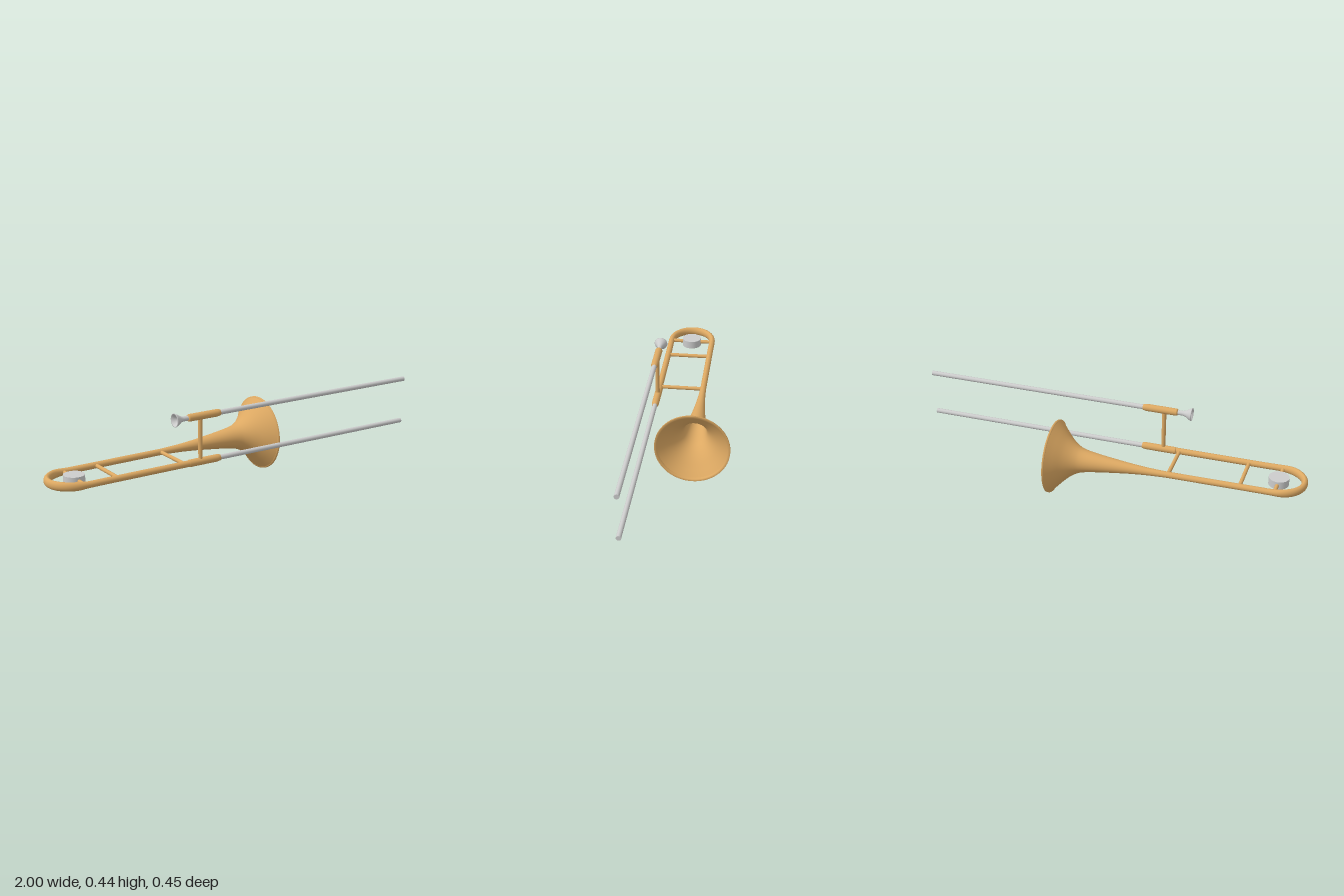
import * as THREE from 'three';

const brass = new THREE.MeshStandardMaterial({ color: 0xdca862 });
const brassSheet = new THREE.MeshStandardMaterial({ color: 0xdca862, side: THREE.DoubleSide });
const silver = new THREE.MeshStandardMaterial({ color: 0xcccccc });
const silverSheet = new THREE.MeshStandardMaterial({ color: 0xcccccc, side: THREE.DoubleSide });

const LOW = 0.187, HIGH = 0.41, SLIDE_Z = 0.192;
const bellZ = (x) => -0.0385 - 0.0137 * x; // the bell side leans slightly outward
const slideZ = (x) => 0.191 - 0.006 * x;

export function createModel() {
  const model = new THREE.Group();
  const add = (name, geometry, material) => {
    const mesh = new THREE.Mesh(geometry, material);
    mesh.name = name;
    model.add(mesh);
    return mesh;
  };
  // Straight rod between two points
  const rod = (name, a, b, radius, material) => {
    const from = new THREE.Vector3(...a), to = new THREE.Vector3(...b);
    const mesh = add(name, new THREE.CylinderGeometry(radius, radius, from.distanceTo(to), 24), material);
    mesh.position.copy(from).add(to).multiplyScalar(0.5);
    mesh.quaternion.setFromUnitVectors(new THREE.Vector3(0, 1, 0), to.sub(from).normalize());
  };
  // Profile of [x, radius] pairs turned about the x axis
  const turned = (profile, segments) => new THREE.LatheGeometry(
    profile.map(([x, r]) => new THREE.Vector2(r, x)), segments).rotateZ(-Math.PI / 2);

  // Main tube: bell side, tuning bow, slide side
  const path = [];
  for (const x of [-0.3, -0.45, -0.6, -0.75]) path.push(new THREE.Vector3(x, LOW, bellZ(x)));
  for (let i = 0; i <= 16; i++) {
    const a = (i / 16) * Math.PI;
    path.push(new THREE.Vector3(-0.86 - 0.125 * Math.sin(a), LOW, 0.085 - 0.112 * Math.cos(a)));
  }
  for (const x of [-0.75, -0.6, -0.45, -0.25]) path.push(new THREE.Vector3(x, LOW, slideZ(x)));
  const tube = new THREE.TubeGeometry(new THREE.CatmullRomCurve3(path), 180, 0.0155, 20);
  // The bow swells vertically
  const p = tube.attributes.position;
  for (let i = 0; i < p.count; i++) {
    const swell = 1 + 0.38 * THREE.MathUtils.smoothstep(-p.getX(i), 0.83, 0.93);
    p.setY(i, LOW + (p.getY(i) - LOW) * swell);
  }
  tube.computeVertexNormals();
  add('mainTube', tube, brass);

  // Flared bell with a smooth spline profile and a thin rim
  const flare = new THREE.SplineCurve([
    [-0.33, 0.0155], [-0.24, 0.019], [-0.15, 0.026], [-0.06, 0.036], [0.02, 0.046], [0.09, 0.058],
    [0.13, 0.074], [0.17, 0.104], [0.21, 0.145], [0.24, 0.178],
  ].map(([x, r]) => new THREE.Vector2(x, r))).getPoints(60).map((v) => [v.x, v.y]);
  const lean = (geometry) => {
    const q = geometry.attributes.position;
    for (let i = 0; i < q.count; i++) q.setZ(i, q.getZ(i) + bellZ(q.getX(i)));
    return geometry.translate(0, LOW, 0);
  };
  add('bell', lean(turned(flare, 64)), brassSheet);
  add('bellRim', lean(turned([[0.24, 0.178], [0.242, 0.184], [0.249, 0.184]], 64)), brassSheet);
  add('bellRimFace', lean(turned([[0.249, 0.184], [0.25, 0.172], [0.236, 0.172]], 64)), brassSheet);
  // Closed throat deep inside the bell
  const throat = add('bellThroat', new THREE.CircleGeometry(0.0155, 24).rotateY(Math.PI / 2), brass);
  throat.position.set(-0.325, LOW, bellZ(-0.325));

  // Slide tubes and their sleeves
  for (const [side, y, end] of [['upper', HIGH, 1], ['lower', LOW, 0.99]]) {
    rod(side + 'SlideTube', [-0.3, y, SLIDE_Z], [end, y, SLIDE_Z], 0.012, silver);
    const sleeve = turned([[-0.32, 0.001], [-0.32, 0.014], [-0.312, 0.018], [-0.16, 0.018],
      [-0.142, 0.015], [-0.14, 0.011]], 28);
    add(side + 'SlideSleeve', sleeve, brassSheet).position.set(0, y, SLIDE_Z);
  }

  // Mouthpiece: shank, outer cup, lip and hollow
  const mouthpiece = turned([[-0.31, 0.012], [-0.345, 0.012], [-0.36, 0.016], [-0.376, 0.026], [-0.388, 0.032],
    [-0.391, 0.033], [-0.392, 0.029], [-0.38, 0.022], [-0.365, 0.011], [-0.355, 0.004], [-0.355, 0]], 36);
  add('mouthpiece', mouthpiece, silverSheet).position.set(0, HIGH, SLIDE_Z);

  // Braces
  rod('slideBrace', [-0.25, LOW, SLIDE_Z], [-0.25, HIGH, SLIDE_Z], 0.0105, brass);
  for (const x of [-0.86, -0.69, -0.335]) {
    rod('crossBrace', [x, LOW, bellZ(x)], [x, LOW, slideZ(x)], 0.0095, brass);
  }

  // Balance weight on the rear brace
  add('balanceWeight', new THREE.CylinderGeometry(0.05, 0.05, 0.04, 36), silver).position.set(-0.86, LOW, 0.085);

  return model;
}
